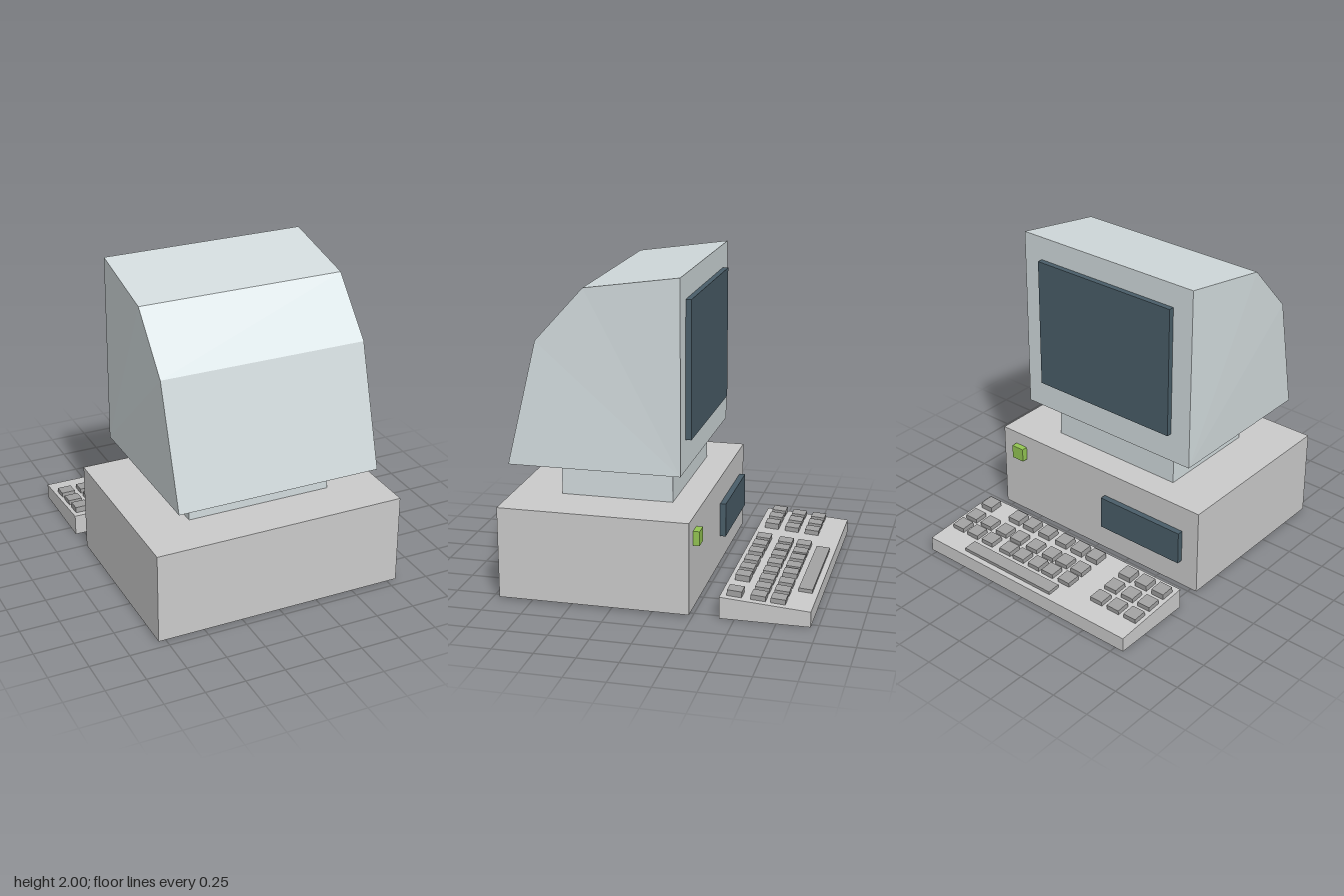
import * as THREE from 'three';

const mat = (color) => new THREE.MeshStandardMaterial({ color, flatShading: true });

export function createModel() {
  const model = new THREE.Group();
  const grey = mat(0xcccccc), shell = mat(0xd3dcde), glass = mat(0x4a5e69);
  const keyGrey = mat(0xa2a2a2), green = mat(0x94c653);

  const add = (name, geometry, material, parent = model) => {
    const mesh = new THREE.Mesh(geometry, material);
    mesh.name = name;
    parent.add(mesh);
    return mesh;
  };

  // Box given by its extents on each axis
  const box = (name, [x0, x1], [y0, y1], [z0, z1], material) => {
    const mesh = add(name, new THREE.BoxGeometry(x1 - x0, y1 - y0, z1 - z0), material);
    mesh.position.set((x0 + x1) / 2, (y0 + y1) / 2, (z0 + z1) / 2);
    return mesh;
  };

  // Side profile of [z, y] points extruded across x
  const across = (points, x0, x1) => {
    const shape = new THREE.Shape(points.map(([z, y]) => new THREE.Vector2(z, y)));
    return new THREE.ExtrudeGeometry(shape, { depth: x1 - x0, bevelEnabled: false })
      .rotateY(-Math.PI / 2).translate(x1, 0, 0);
  };

  // Desktop case with drive panel and power button
  box('case', [-0.8, 0.805], [0.01, 0.585], [-0.23, 0.955], grey);
  box('drivePanel', [-0.68, -0.06], [0.19, 0.41], [-0.268, -0.23], glass);
  box('powerButton', [0.61, 0.7], [0.41, 0.5], [-0.27, -0.23], green);

  // Monitor on its stand; the upper rear edges sit slightly to one side
  box('monitorStand', [-0.465, 0.465], [0.585, 0.81], [-0.05, 0.65], shell);
  const monitor = across(
    [[-0.14, 0.81], [0.93, 0.81], [0.75, 1.58], [0.45, 1.91], [-0.14, 2]], -0.65, 0.645);
  const p = monitor.attributes.position;
  for (let i = 0; i < p.count; i++) {
    if (p.getZ(i) > 0.4 && p.getZ(i) < 0.8) p.setX(i, p.getX(i) - 0.026);
  }
  monitor.computeVertexNormals();
  add('monitorShell', monitor, shell);
  box('screen', [-0.51, 0.51], [1.0, 1.85], [-0.175, -0.14], glass);

  // Wedge-shaped keyboard
  const keyboard = new THREE.Group();
  keyboard.name = 'keyboard';
  model.add(keyboard);
  add('keyboardBase', across(
    [[-0.955, 0], [-0.408, 0], [-0.408, 0.135], [-0.955, 0.095]], -0.81, 0.787), grey, keyboard);

  // Keys lie along the sloping top
  const slope = 0.04 / 0.547;
  const key = (name, x, z, w, d, h) => {
    const mesh = add(name, new THREE.BoxGeometry(w, h + 0.02, d), keyGrey, keyboard);
    mesh.position.set(x, 0.095 + (z + 0.955) * slope + h / 2 - 0.01, z);
    mesh.rotation.x = -Math.atan(slope);
  };
  const rows = [
    { z: -0.49, padZ: -0.5, h: 0.037, xs: [-0.205, -0.08, 0.05, 0.195, 0.33, 0.455, 0.7] },
    { z: -0.633, padZ: -0.633, h: 0.03, xs: [-0.205, -0.08, 0.035, 0.17, 0.31, 0.435, 0.57, 0.7] },
    { z: -0.752, padZ: -0.765, h: 0.03, xs: [-0.205, -0.07, 0.045, 0.175, 0.29, 0.445, 0.575, 0.7] },
  ];
  for (const { z, padZ, h, xs } of rows) {
    for (const x of xs) key('letterKey', x, z, 0.09, 0.09, h);
    for (const x of [-0.74, -0.61, -0.48]) key('padKey', x, padZ, 0.09, 0.09, h);
  }
  key('spaceBar', 0.158, -0.878, 0.715, 0.085, 0.022);

  return model;
}
